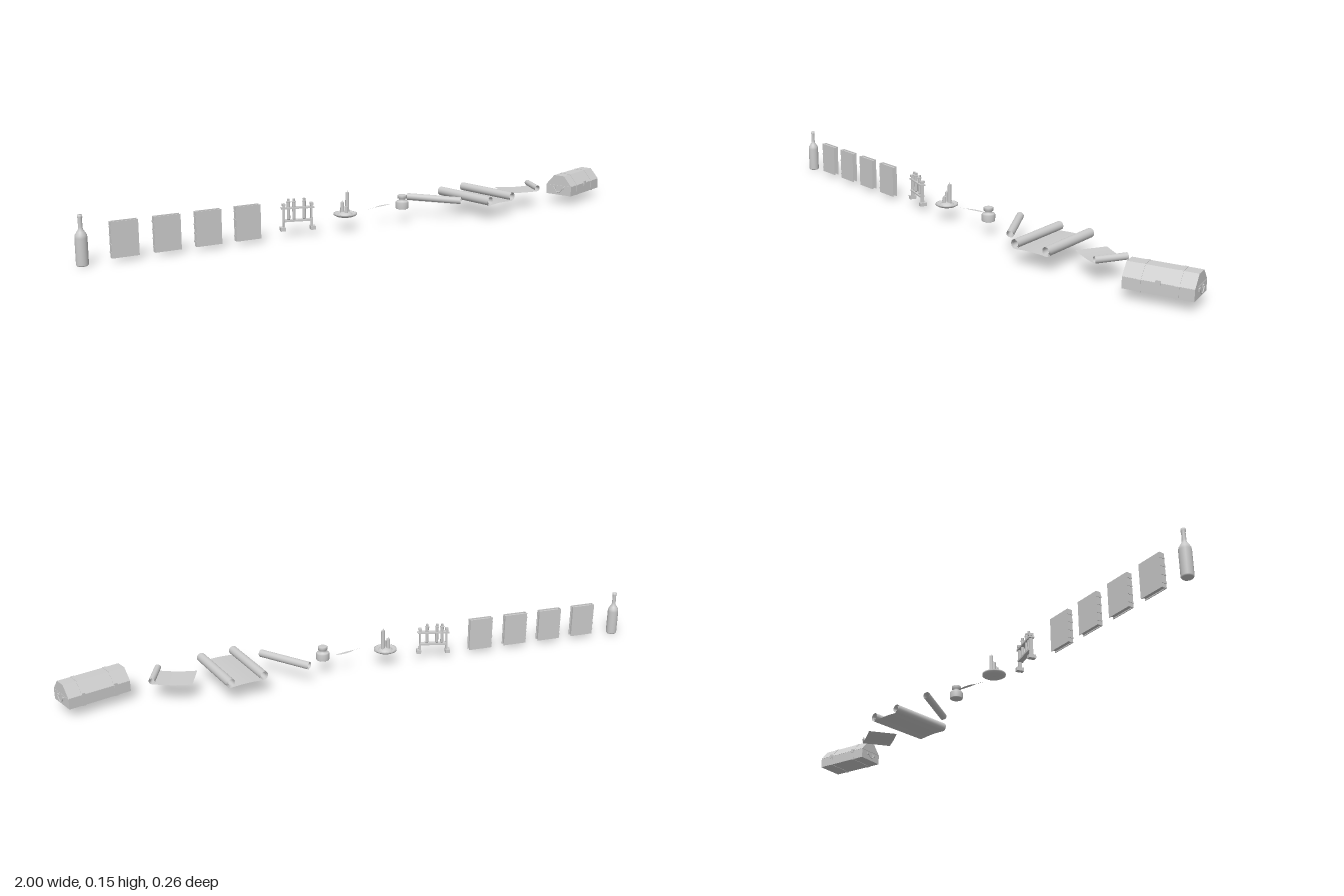
import * as THREE from 'three';

const gray = new THREE.MeshStandardMaterial({ color: 0xcccccc });
const thin = new THREE.MeshStandardMaterial({ color: 0xcccccc, side: THREE.DoubleSide });
const flat = new THREE.MeshStandardMaterial({ color: 0xcccccc, flatShading: true });

function add(parent, name, geometry, x = 0, y = 0, z = 0, material = gray) {
  const m = new THREE.Mesh(geometry, material);
  m.name = name;
  m.position.set(x, y, z);
  parent.add(m);
  return m;
}
function group(parent, name, x, y, z, turn = 0) {
  const g = new THREE.Group();
  g.name = name;
  g.position.set(x, y, z);
  g.rotation.y = THREE.MathUtils.degToRad(turn);
  parent.add(g);
  return g;
}
const box = (w, h, d) => new THREE.BoxGeometry(w, h, d);
const lathe = (pts, n = 24) => new THREE.LatheGeometry(pts.map(p => new THREE.Vector2(...p)), n);

// Sweep an open cross-section along z to make a paper sheet
function ribbon(pts, length) {
  const pos = [], index = [];
  pts.forEach(([x, y], i) => {
    pos.push(x, y, length / 2, x, y, -length / 2);
    if (i) {
      const a = 2 * i - 2;
      index.push(a, a + 2, a + 1, a + 1, a + 2, a + 3);
    }
  });
  const g = new THREE.BufferGeometry();
  g.setAttribute('position', new THREE.Float32BufferAttribute(pos, 3));
  g.setIndex(index);
  g.computeVertexNormals();
  return g;
}
// Inward spiral starting at the bottom; side = 1 curls right, -1 curls left
function spiral(cx, cy, r, side, turns = 2.4) {
  const pts = [], n = Math.round(turns * 20);
  for (let i = 0; i <= n; i++) {
    const a = -Math.PI / 2 + (i / 20) * Math.PI * 2, q = r * (1 - 0.45 * i / n);
    pts.push([cx + side * q * Math.cos(a), cy + q * Math.sin(a)]);
  }
  return pts;
}
function sheet(x0, x1, y, wave) {
  const pts = [];
  for (let i = 1; i < 12; i++) pts.push([x0 + (x1 - x0) * i / 12, y + wave * Math.sin(Math.PI * i / 12)]);
  return pts;
}

function addBook(root, x) {
  const b = group(root, 'book', x, 0.067, 0);
  for (const s of [-1, 1]) add(b, 'cover', box(0.083, 0.112, 0.0025), 0.001, 0, s * 0.0078);
  add(b, 'pages', box(0.078, 0.105, 0.0135), 0, 0, 0);
  add(b, 'spine', box(0.003, 0.112, 0.018), -0.0405, 0, 0);
  for (const y of [-0.04, -0.014, 0.014, 0.04]) add(b, 'spineBand', box(0.003, 0.005, 0.0185), -0.042, y, 0);
}

function addRack(root) {
  const r = group(root, 'vialRack', -0.273, 0, -0.003, -15);
  for (const s of [-1, 1]) {
    add(r, 'post', box(0.006, 0.075, 0.012), s * 0.046, 0.067, 0);
    add(r, 'foot', box(0.016, 0.012, 0.024), s * 0.05, 0.026, 0);
    add(r, 'postCap', box(0.01, 0.008, 0.016), s * 0.046, 0.106, 0);
  }
  add(r, 'upperShelf', box(0.108, 0.005, 0.018), 0, 0.095, 0);
  add(r, 'lowerShelf', box(0.092, 0.006, 0.018), 0, 0.053, 0);
  // Stoppered glass vials standing in the shelves
  for (const x of [-0.03, -0.012, 0.022]) {
    add(r, 'vial', lathe([[0, 0.054], [0.004, 0.056], [0.0055, 0.06], [0.0055, 0.113], [0.007, 0.114], [0.007, 0.117], [0, 0.117]], 14), x);
    add(r, 'stopper', new THREE.CylinderGeometry(0.0045, 0.004, 0.009, 12), x, 0.121);
  }
}

function addCandles(root) {
  const c = group(root, 'candleDish', -0.098, 0, 0);
  add(c, 'dish', lathe([[0, 0.047], [0.03, 0.047], [0.039, 0.052], [0.039, 0.057], [0.036, 0.057], [0.031, 0.053], [0, 0.053]], 28));
  add(c, 'meltedWax', lathe([[0.025, 0.053], [0.021, 0.057], [0.014, 0.061], [0, 0.063]], 16));
  for (const [x, z, r, top] of [[0.01, -0.004, 0.007, 0.126], [-0.008, -0.006, 0.007, 0.094], [-0.001, 0.01, 0.0065, 0.082]]) {
    add(c, 'candle', new THREE.CylinderGeometry(r * 0.9, r, top - 0.053, 14), x, (top + 0.053) / 2, z);
    add(c, 'wick', new THREE.CylinderGeometry(0.0008, 0.0008, 0.006, 6), x, top + 0.003, z);
  }
}

function addChest(root) {
  const c = group(root, 'chest', 0.882, 0, 0, 21);
  const extrude = (pts, len) => new THREE.ExtrudeGeometry(
    new THREE.Shape(pts.map(p => new THREE.Vector2(...p))), { depth: len, bevelEnabled: false })
    .translate(0, 0, -len / 2).rotateY(Math.PI / 2);
  const body = e => [[-0.051 - e, 0.032 - e], [0.051 + e, 0.032 - e], [0.051 + e, 0.067], [-0.051 - e, 0.067]];
  const lid = e => [[-0.051 - e, 0.068], [0.051 + e, 0.068], [0.02 + e / 2, 0.104 + e], [-0.02 - e / 2, 0.104 + e]];
  add(c, 'chestBody', extrude(body(0), 0.21), 0, 0, 0, flat);
  add(c, 'chestLid', extrude(lid(0), 0.21), 0, 0, 0, flat);
  add(c, 'lidSeam', box(0.206, 0.003, 0.1), 0, 0.0675, 0);
  for (const x of [-0.055, 0.055]) {
    add(c, 'bodyStrap', extrude(body(0.0012), 0.012), x, 0, 0, flat);
    add(c, 'lidStrap', extrude(lid(0.0012), 0.012), x, 0, 0, flat);
    add(c, 'hinge', box(0.01, 0.014, 0.003), x, 0.067, -0.0525);
  }
  add(c, 'latch', box(0.014, 0.018, 0.003), 0, 0.066, 0.052);
  // Drop handles on both ends
  for (const s of [-1, 1]) {
    for (const z of [-0.017, 0.017]) add(c, 'handleBracket', box(0.004, 0.009, 0.011), s * 0.1065, 0.057, z);
    const path = new THREE.CatmullRomCurve3([[-0.017, 0.057], [-0.012, 0.05], [-0.007, 0.044], [0.007, 0.044], [0.012, 0.05], [0.017, 0.057]]
      .map(([z, y]) => new THREE.Vector3(s * 0.109, y, z)));
    add(c, 'handle', new THREE.TubeGeometry(path, 20, 0.0017, 8));
  }
}

export function createModel() {
  const root = new THREE.Group();
  root.name = 'tabletopProps';

  add(root, 'bottle', lathe([[0, 0.003], [0.012, 0.002], [0.016, 0], [0.0187, 0.004], [0.0187, 0.085], [0.0175, 0.094],
    [0.012, 0.103], [0.0075, 0.11], [0.0065, 0.118], [0.0062, 0.145], [0.0075, 0.146], [0.0075, 0.154], [0, 0.154]]), -0.981);
  for (let i = 0; i < 4; i++) addBook(root, -0.852 + i * 0.1335);
  addRack(root);
  addCandles(root);

  // Curved feather lying flat
  const f = new THREE.Shape();
  f.moveTo(-0.058, 0.0005);
  f.quadraticCurveTo(-0.035, -0.003, -0.02, -0.003);
  f.bezierCurveTo(0, -0.012, 0.03, -0.011, 0.056, 0.002);
  f.bezierCurveTo(0.03, 0.006, 0, 0.003, -0.022, -0.0015);
  f.quadraticCurveTo(-0.035, -0.001, -0.058, 0.0005);
  const quill = add(root, 'quill', new THREE.ShapeGeometry(f, 10).rotateX(Math.PI / 2), 0.034, 0.064, 0, thin);
  quill.rotation.y = 0.33;

  add(root, 'inkPot', lathe([[0, 0.048], [0.021, 0.048], [0.0225, 0.05], [0.0225, 0.07], [0.02, 0.074], [0.012, 0.076],
    [0.011, 0.083], [0.016, 0.084], [0.016, 0.094], [0.014, 0.095], [0, 0.095]]), 0.125);

  const rolled = group(root, 'rolledScroll', 0.257, 0.067, -0.001, 39.4);
  add(rolled, 'paper', ribbon(spiral(0, 0, 0.0135, 1, 3), 0.196), 0, 0, 0, thin);

  const open = group(root, 'doubleRollScroll', 0.435, 0.067, 0, 12);
  const r = 0.0165;
  add(open, 'paper', ribbon([...spiral(-0.057, 0, r, -1).reverse(), ...sheet(-0.057, 0.057, -r, 0.003),
    ...spiral(0.057, 0, r, 1)], 0.238), 0, 0, 0, thin);

  const single = group(root, 'singleRollScroll', 0.63, 0.072, -0.013, -19);
  add(single, 'paper', ribbon([[-0.07, -0.0115], ...sheet(-0.07, 0.057, -0.0115, -0.003),
    ...spiral(0.057, 0, 0.0115, 1)], 0.106), 0, 0, 0, thin);

  addChest(root);
  return root;
}
